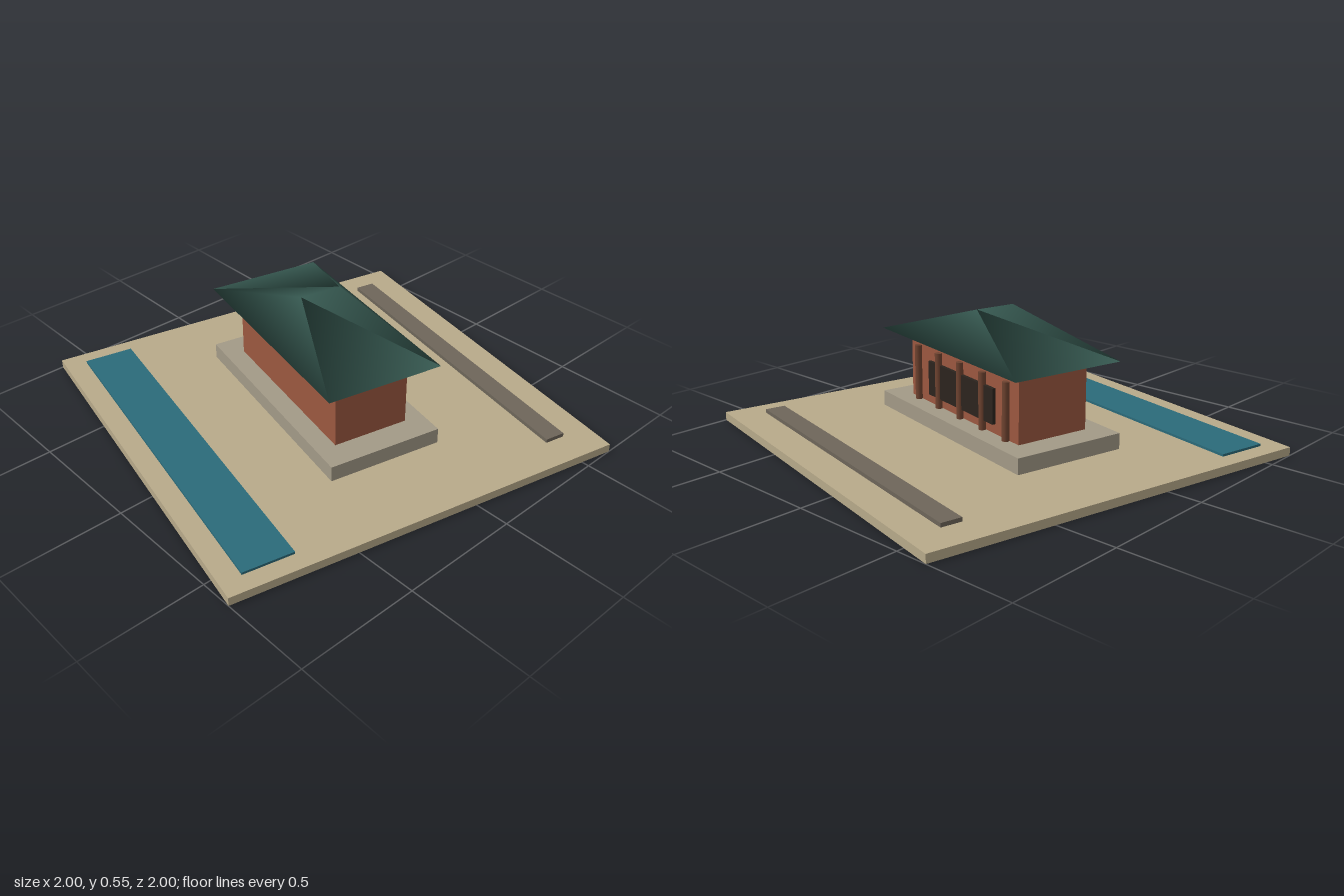
import * as THREE from 'three';

const mat = (color) => new THREE.MeshStandardMaterial({ color });

// Box spanning y0..y1, centred on x = 0 at depth z
function slab(name, w, d, y0, y1, z, material) {
  const mesh = new THREE.Mesh(new THREE.BoxGeometry(w, y1 - y0, d), material);
  mesh.name = name;
  mesh.position.set(0, (y0 + y1) / 2, z);
  return mesh;
}

// Closed hip roof with a short cross ridge and softly blended normals
function hipRoof(halfW, halfD, ridge, y0, y1) {
  const geo = new THREE.BufferGeometry();
  geo.setAttribute('position', new THREE.Float32BufferAttribute([
    -halfW, y0, -halfD, halfW, y0, -halfD, halfW, y0, halfD, -halfW, y0, halfD,
    0, y1, -ridge, 0, y1, ridge,
  ], 3));
  geo.setIndex([
    0, 4, 1, 2, 5, 3, // end triangles
    1, 4, 5, 1, 5, 2, // left slope
    3, 5, 4, 3, 4, 0, // right slope
    0, 1, 3, 1, 2, 3, // underside
  ]);
  geo.computeVertexNormals();
  return geo;
}

export function createModel() {
  const model = new THREE.Group();
  model.name = 'pavilion';

  // Everything is turned slightly on the plot
  const site = new THREE.Group();
  site.name = 'site';
  site.rotation.y = -0.2195;
  model.add(site);

  // Grounds
  site.add(
    slab('ground', 1.675, 1.675, 0, 0.035, 0, mat(0xb8aa8a)),
    slab('pool', 1.524, 0.207, 0.035, 0.045, 0.646, mat(0x2b6b7a)),
    slab('path', 1.422, 0.085, 0.042, 0.058, -0.662, mat(0x6e665a)),
  );

  // Building
  site.add(
    slab('plinth', 1.0, 0.484, 0.05, 0.115, 0, mat(0xa39a87)),
    slab('hall', 0.778, 0.32, 0.115, 0.367, 0, mat(0x9c5840)),
    slab('doorPanel', 0.47, 0.02, 0.155, 0.3, -0.164, mat(0x2c241e)),
  );

  // Colonnade
  const columnMat = mat(0x6f4330);
  for (let i = -2; i <= 2; i++) {
    const column = new THREE.Mesh(new THREE.CylinderGeometry(0.015, 0.015, 0.235, 10), columnMat);
    column.name = 'column';
    column.position.set(i * 0.16, 0.2325, -0.171);
    site.add(column);
  }

  // Roof
  const roof = new THREE.Mesh(hipRoof(0.487, 0.245, 0.087, 0.4, 0.553), mat(0x35574f));
  roof.name = 'roof';
  site.add(roof);

  return model;
}
